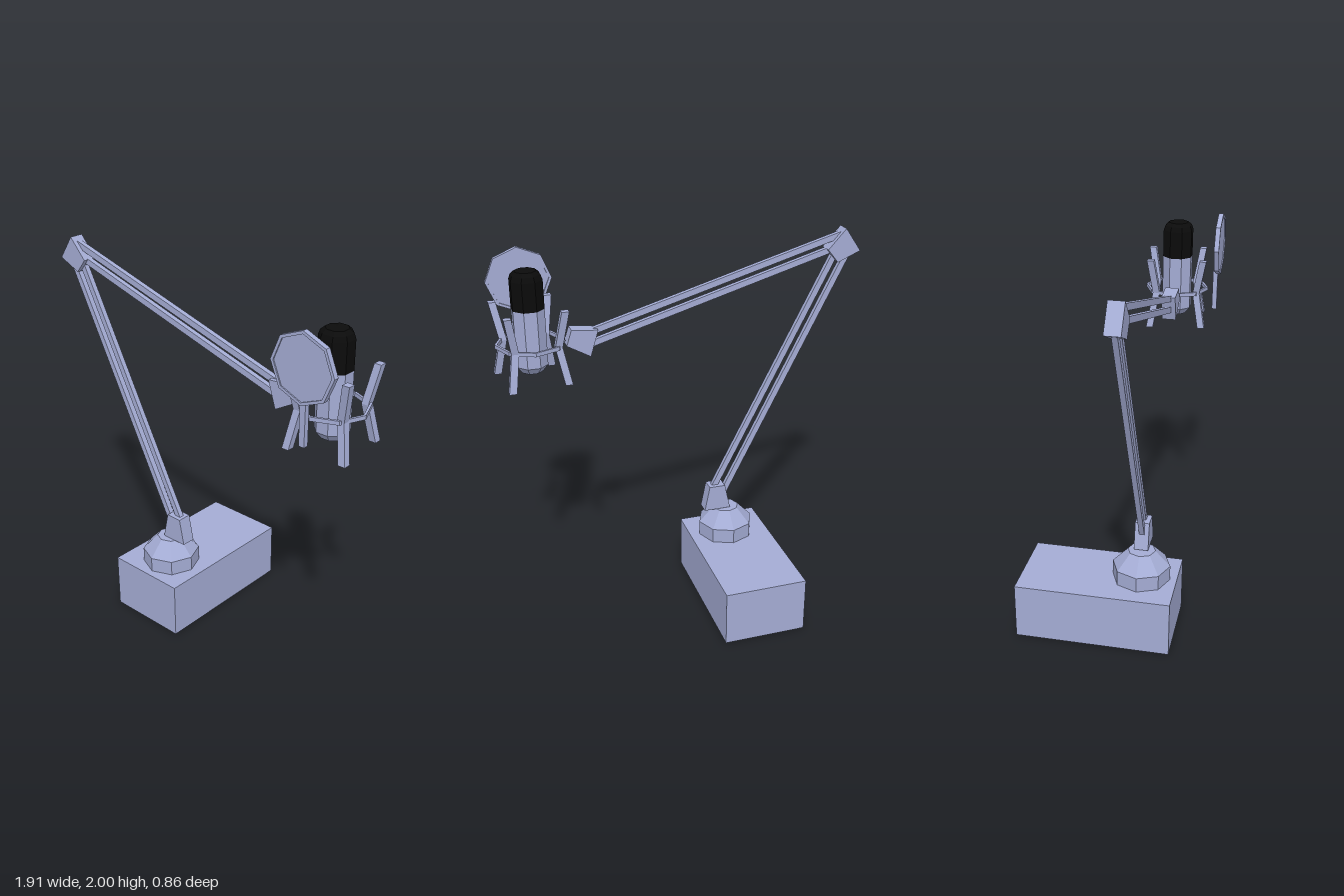
import * as THREE from 'three';

const metal = new THREE.MeshStandardMaterial({ color: 0xa4acd4 });
metal.name = 'blue grey metal';
const grille = new THREE.MeshStandardMaterial({ color: 0x0b0b0b });
grille.name = 'black grille';

const ARM_Z = 0.19;
const MIC = { x: 0.776, z: 0.186 };
const OCTANT = Math.PI / 4;

// Mesh with hard facets
function part(name, geometry, material = metal) {
  const g = geometry.index ? geometry.toNonIndexed() : geometry;
  g.computeVertexNormals();
  const mesh = new THREE.Mesh(g, material);
  mesh.name = name;
  return mesh;
}

function box(name, w, h, d, x, y, z) {
  const mesh = part(name, new THREE.BoxGeometry(w, h, d));
  mesh.position.set(x, y, z);
  return mesh;
}

// Eight-sided turned part from a bottom-to-top profile of [radius, y]
function turned(name, profile, x, z, phase = 0, material = metal) {
  const points = profile.map(([r, y]) => new THREE.Vector2(r, y));
  const mesh = part(name, new THREE.LatheGeometry(points, 8, phase), material);
  mesh.position.set(x, 0, z);
  return mesh;
}

// Plate with a front outline, extruded about the plane of the arm
function bracket(name, corners, depth = 0.074) {
  const shape = new THREE.Shape(corners.map(([x, y]) => new THREE.Vector2(x, y)));
  const mesh = part(name, new THREE.ExtrudeGeometry(shape, { depth, bevelEnabled: false }));
  mesh.position.z = ARM_Z - depth / 2;
  return mesh;
}

// Square bar between two points in the plane of the arm
function bar(name, [x1, y1], [x2, y2]) {
  const mesh = box(name, Math.hypot(x2 - x1, y2 - y1), 0.032, 0.027,
    (x1 + x2) / 2, (y1 + y2) / 2, ARM_Z);
  mesh.rotation.z = Math.atan2(y2 - y1, x2 - x1);
  return mesh;
}

function octagon(r, PathType) {
  const points = Array.from({ length: 8 }, (_, i) =>
    new THREE.Vector2(r * Math.cos(i * OCTANT), r * Math.sin(i * OCTANT)));
  return new PathType(points);
}

// Flat octagonal hoop lying in xy, centred on its thickness
function hoop(name, outer, inner, depth) {
  const shape = octagon(outer, THREE.Shape);
  shape.holes.push(octagon(inner, THREE.Path));
  const g = new THREE.ExtrudeGeometry(shape, { depth, bevelEnabled: false });
  g.translate(0, 0, -depth / 2);
  return part(name, g);
}

// Bent prong: a square bar pinched inwards at mid height
function prong() {
  const g = new THREE.BoxGeometry(0.037, 0.375, 0.037, 1, 2, 1);
  const p = g.attributes.position;
  for (let i = 0; i < p.count; i++) {
    const end = Math.abs(p.getY(i)) > 0.1;
    p.setX(i, p.getX(i) + (end ? 0.123 : 0.094));
    p.setZ(i, p.getZ(i) - (end ? 0.157 : 0.121));
  }
  return part('cradleProng', g);
}

export function createModel() {
  const model = new THREE.Group();
  model.name = 'boomMicrophone';

  // Base and turret
  model.add(
    box('baseBlock', 0.44, 0.3, 0.808, -0.265, 0.15, -0.025),
    turned('turret', [[0, 0.3], [0.151, 0.3], [0.151, 0.38], [0.072, 0.463], [0, 0.463]], -0.25, 0.192),
  );

  // Boom arm: joints and paired bars
  const arm = new THREE.Group();
  arm.name = 'boomArm';
  arm.add(
    bracket('footBracket', [[-0.265, 0.468], [-0.118, 0.468], [-0.146, 0.61], [-0.234, 0.61]]),
    bracket('elbowBracket', [[-0.873, 2], [-0.958, 1.878], [-0.836, 1.825], [-0.778, 1.896]]),
    bracket('headBracket', [[0.442, 1.597], [0.484, 1.462], [0.603, 1.53], [0.576, 1.61]]),
    bar('lowerArmBar', [-0.903, 1.875], [-0.23, 0.552]),
    bar('lowerArmBar', [-0.835, 1.88], [-0.168, 0.58]),
    bar('upperArmBar', [-0.86, 1.965], [0.48, 1.58]),
    bar('upperArmBar', [-0.82, 1.894], [0.5, 1.512]),
  );
  model.add(arm);

  // Microphone
  const phase = OCTANT / 2;
  model.add(
    turned('micBody', [[0, 1.412], [0.054, 1.412], [0.083, 1.448], [0.083, 1.735]], MIC.x, MIC.z, phase),
    turned('micGrille', [[0.083, 1.735], [0.083, 1.88], [0.074, 1.905], [0.054, 1.922], [0, 1.924]],
      MIC.x, MIC.z, phase, grille),
  );

  // Shock mount: hoop with four bent prongs
  const cradle = new THREE.Group();
  cradle.name = 'shockMount';
  cradle.position.set(MIC.x, 1.557, MIC.z);
  const ring = hoop('cradleRing', 0.173, 0.16, 0.02);
  ring.rotation.x = Math.PI / 2;
  cradle.add(ring);
  for (let i = 0; i < 4; i++) {
    const p = prong();
    p.rotation.y = i * Math.PI / 2;
    cradle.add(p);
  }
  model.add(cradle);

  // Pop filter: rim, screen and stem
  const rim = hoop('popFilterRim', 0.167, 0.152, 0.026);
  rim.position.set(0.78, 1.81, 0.415);
  const screen = part('popFilterScreen',
    new THREE.ExtrudeGeometry(octagon(0.153, THREE.Shape), { depth: 0.014, bevelEnabled: false }));
  screen.position.set(0.78, 1.81, 0.408);
  model.add(rim, screen, box('popFilterStem', 0.03, 0.215, 0.026, 0.78, 1.552, 0.399));

  return model;
}
